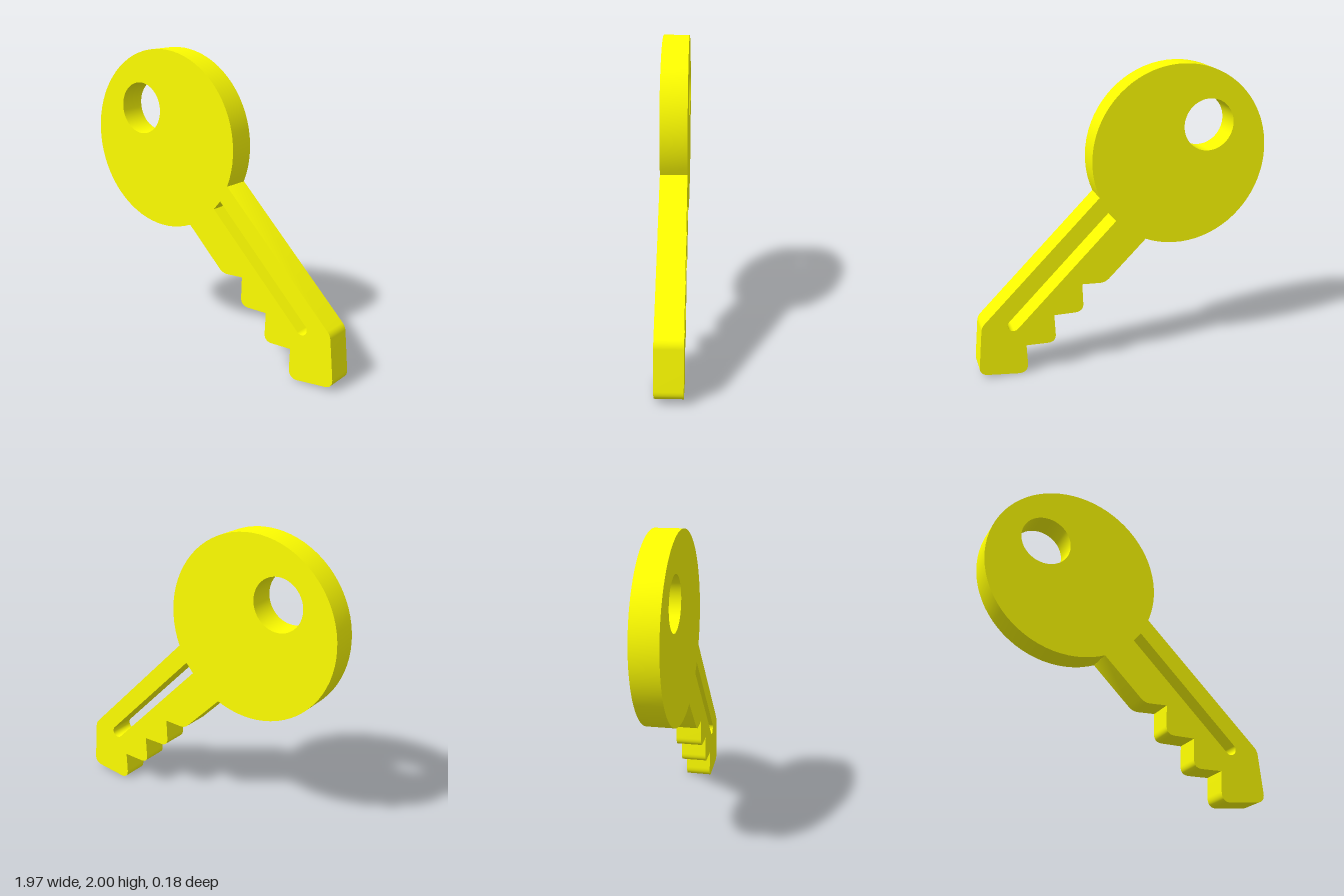
import * as THREE from 'three';
import { toCreasedNormals } from 'three/addons/utils/BufferGeometryUtils.js';

const THICKNESS = 0.176;
const BOW = { x: -0.392, y: 1.404, r: 0.597 };

// Blade outline from the upper bow joint round to the lower one: [x, y, corner radius]
const BLADE = [
  [0.957, 0.374, 0.03], [0.99, 0.03, 0.06], [0.662, -0.007, 0.075],
  [0.67, 0.199, 0], [0.468, 0.193, 0.06],
  [0.477, 0.39, 0], [0.276, 0.389, 0.06],
  [0.283, 0.586, 0], [0.124, 0.578, 0.04],
];
const BLADE_START = [0.162, 1.168];
const BLADE_END = [-0.155, 0.855];

// Draws a polyline whose corners are rounded off
function roundedPath(shape, start, corners, end) {
  const points = [start, ...corners, end].map(([x, y]) => new THREE.Vector2(x, y));
  corners.forEach(([x, y, r], i) => {
    if (!r) return shape.lineTo(x, y);
    const p = points[i + 1];
    const toward = (q) => p.clone().add(q.clone().sub(p).setLength(r));
    const a = toward(points[i]);
    const b = toward(points[i + 2]);
    shape.lineTo(a.x, a.y);
    shape.quadraticCurveTo(x, y, b.x, b.y);
  });
  shape.lineTo(...end);
}

function keyShape() {
  const angle = ([x, y]) => Math.atan2(y - BOW.y, x - BOW.x);
  const shape = new THREE.Shape();
  shape.moveTo(...BLADE_START);
  roundedPath(shape, BLADE_START, BLADE, BLADE_END);
  shape.absarc(BOW.x, BOW.y, BOW.r, angle(BLADE_END), angle(BLADE_START), true);

  // Ring hole
  const hole = new THREE.Path();
  hole.absarc(-0.584, 1.596, 0.172, 0, Math.PI * 2, false);

  // Slot along the blade, square at the bow and round at the tip;
  // counter-clockwise against the clockwise outline
  const slot = new THREE.Path();
  slot.moveTo(0.102, 1.063);
  slot.lineTo(0.049, 1.002);
  slot.absarc(0.749, 0.357, 0.04, -Math.PI * 0.75, Math.PI / 4, false);
  slot.closePath();

  shape.holes.push(hole, slot);
  return shape;
}

export function createModel() {
  const group = new THREE.Group();
  group.name = 'key';
  const extruded = new THREE.ExtrudeGeometry(keyShape(), {
    depth: THICKNESS, bevelEnabled: false, curveSegments: 32,
  });
  extruded.translate(0, 0, -THICKNESS / 2);

  // Creasing merges points closer than 0.01, so it is done at a larger scale
  extruded.scale(100, 100, 100);
  const geometry = toCreasedNormals(extruded, Math.PI / 6);
  geometry.scale(0.01, 0.01, 0.01);

  const body = new THREE.Mesh(geometry, new THREE.MeshStandardMaterial({ color: 0xffff00 }));
  body.name = 'keyBody';
  group.add(body);
  return group;
}
